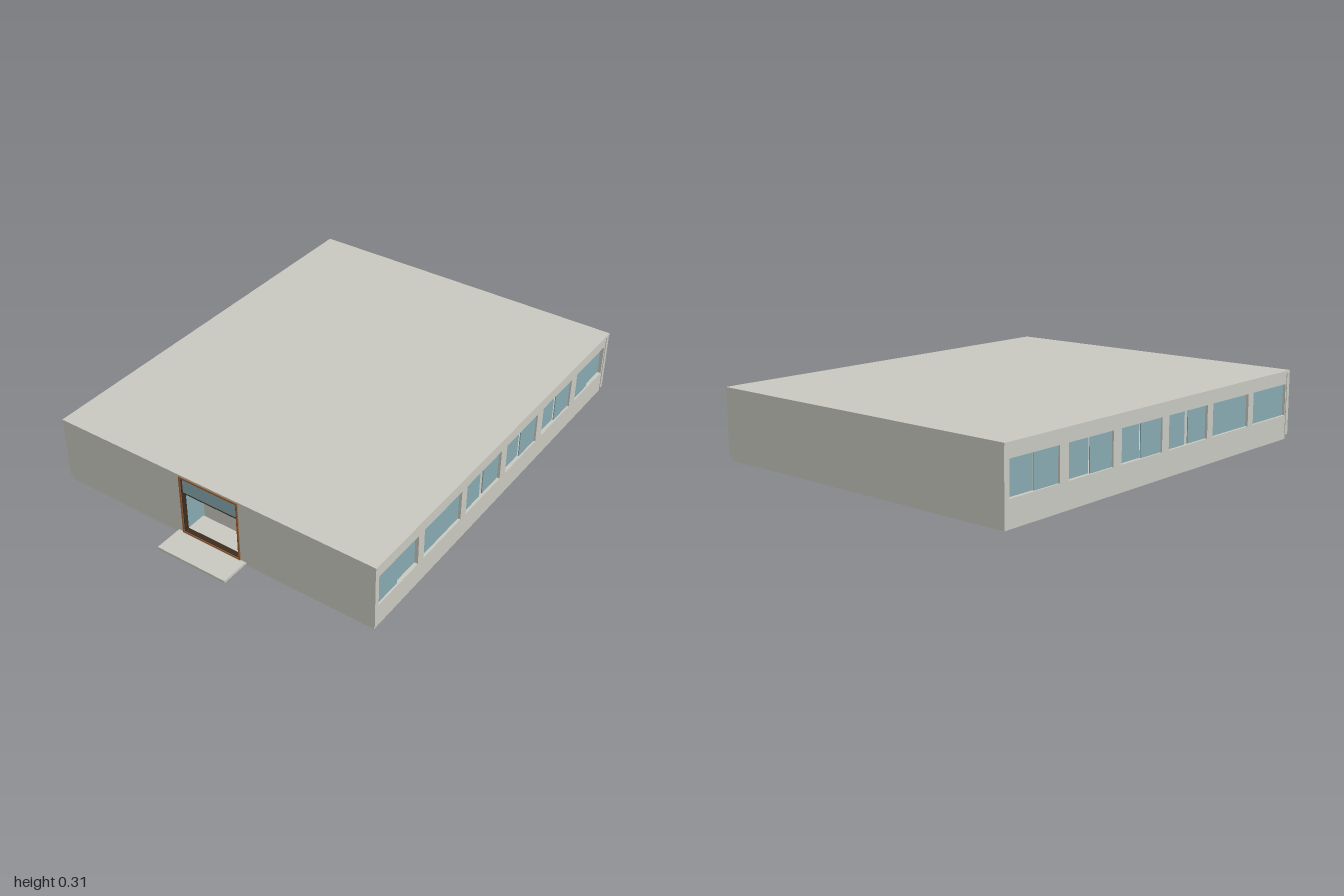
import * as THREE from 'three';

const mat = (name, color, extra = {}) => {
  const m = new THREE.MeshStandardMaterial({ color, ...extra });
  m.name = name;
  return m;
};

export function createModel() {
  const model = new THREE.Group();
  model.name = 'singleStoreyBuilding';
  const wall = mat('paleConcrete', 0xc8c8c0);
  const glass = mat('blueGlass', 0x86a9b0);
  const brown = mat('brownFrame', 0x9c6238);
  const dark = mat('darkTrim', 0x3c2c20);

  // Box given by its limits on each axis
  const box = (name, m, x0, x1, y0, y1, z0, z1, parent = model) => {
    const mesh = new THREE.Mesh(new THREE.BoxGeometry(x1 - x0, y1 - y0, z1 - z0), m);
    mesh.position.set((x0 + x1) / 2, (y0 + y1) / 2, (z0 + z1) / 2);
    mesh.name = name;
    parent.add(mesh);
    return mesh;
  };
  const rect = (P, u0, u1, v0, v1) => {
    const p = new P();
    p.moveTo(u0, v0);
    p.lineTo(u1, v0);
    p.lineTo(u1, v1);
    p.lineTo(u0, v1);
    p.closePath();
    return p;
  };
  // Wall panel with rectangular openings, extruded along +z
  const panel = (name, limits, holes, depth) => {
    const s = rect(THREE.Shape, ...limits);
    holes.forEach(h => s.holes.push(rect(THREE.Path, ...h)));
    const mesh = new THREE.Mesh(new THREE.ExtrudeGeometry(s, { depth, bevelEnabled: false }), wall);
    mesh.name = name;
    model.add(mesh);
    return mesh;
  };
  // Four bars around a rectangle in the xy plane
  const frame = (name, m, x0, x1, y0, y1, z0, z1, t) => {
    const g = new THREE.Group();
    g.name = name;
    box('leftBar', m, x0, x0 + t, y0, y1, z0, z1, g);
    box('rightBar', m, x1 - t, x1, y0, y1, z0, z1, g);
    box('topBar', m, x0 + t, x1 - t, y1 - t, y1, z0, z1, g);
    box('bottomBar', m, x0 + t, x1 - t, y0, y0 + t, z0, z1, g);
    model.add(g);
  };

  // Shell
  box('foundation', wall, -0.757, 0.757, 0, 0.022, -0.992, 0.865);
  box('roof', wall, -0.767, 0.767, 0.3, 0.31, -1, 0.872);
  box('backWall', wall, -0.765, 0.765, 0.022, 0.3, -1, -0.98);
  panel('frontWall', [-0.765, 0.765, 0.022, 0.3], [[-0.145, 0.142, 0.024, 0.299]], 0.02)
    .position.z = 0.852;
  box('entranceStep', wall, -0.17, 0.165, 0.01, 0.022, 0.86, 1);

  // Side walls with six sliding windows each, listed from front to back
  const windows = [[0.58, 0.845], [0.27, 0.54], [-0.04, 0.23], [-0.345, -0.085], [-0.655, -0.395], [-0.97, -0.705]];
  const y0 = 0.11, y1 = 0.25;
  // 1: front pane is outermost, -1: back pane is outermost, 0: level panes
  const slide = { 1: [1, 0, 0, -1, -1, 1], '-1': [0, 0, 0, 1, 1, 1] };
  for (const side of [1, -1]) {
    const w = panel(side > 0 ? 'leftWall' : 'rightWall', [-0.98, 0.852, 0.022, 0.3],
      windows.map(([a, b]) => [a, b, y0, y1]), 0.02);
    w.rotation.y = -Math.PI / 2;
    w.position.x = side > 0 ? 0.762 : -0.742;
    windows.forEach(([a, b], i) => {
      const mid = (a + b) / 2;
      const gap = i === 2 ? 0.012 : 0;
      [[a, mid - gap, -1], [mid + gap, b, 1]].forEach(([z0, z1, end]) => {
        const x = side * (0.748 + 0.004 * end * slide[side][i]);
        box('windowPane', glass, x - 0.002, x + 0.002, y0, y1, z0, z1);
      });
      if (i === 2) box('windowPost', wall, side * 0.744 - 0.002, side * 0.744 + 0.002, y0, y1, mid - gap, mid + gap);
    });
  }

  // Entrance: outer frame, transom and glazed lobby sides
  frame('doorFrame', brown, -0.147, 0.142, 0.022, 0.304, 0.85, 0.876, 0.008);
  frame('doorInnerTrim', dark, -0.139, 0.134, 0.03, 0.296, 0.852, 0.873, 0.003);
  box('transomGlass', glass, -0.136, 0.131, 0.225, 0.293, 0.862, 0.867);
  box('transomBar', dark, -0.136, 0.131, 0.222, 0.225, 0.86, 0.87);
  for (const x of [-0.141, 0.138]) {
    box('lobbySideGlass', glass, x - 0.002, x + 0.002, 0.03, 0.225, 0.752, 0.852);
    box('lobbySideHead', wall, x - 0.004, x + 0.004, 0.225, 0.3, 0.752, 0.852);
  }
  box('doorHandle', dark, 0.128, 0.134, 0.1, 0.135, 0.84, 0.852);

  // Lobby back wall with a framed serving hatch
  panel('lobbyBackWall', [-0.16, 0.16, 0.022, 0.3], [[-0.063, 0.058, 0.122, 0.2]], 0.02)
    .position.z = 0.732;
  frame('hatchFrame', dark, -0.065, 0.06, 0.12, 0.202, 0.73, 0.755, 0.004);
  box('hatchBacking', wall, -0.16, 0.16, 0.022, 0.3, 0.68, 0.69);
  const slats = [[-0.022, 0.018, 0.188, glass], [-0.05, -0.025, 0.172, glass],
    [-0.015, 0.01, 0.172, glass], [0.02, 0.048, 0.172, brown]];
  slats.forEach(([a, b, y, m]) => box('hatchSlat', m, a, b, y, y + 0.007, 0.689, 0.693));

  return model;
}
